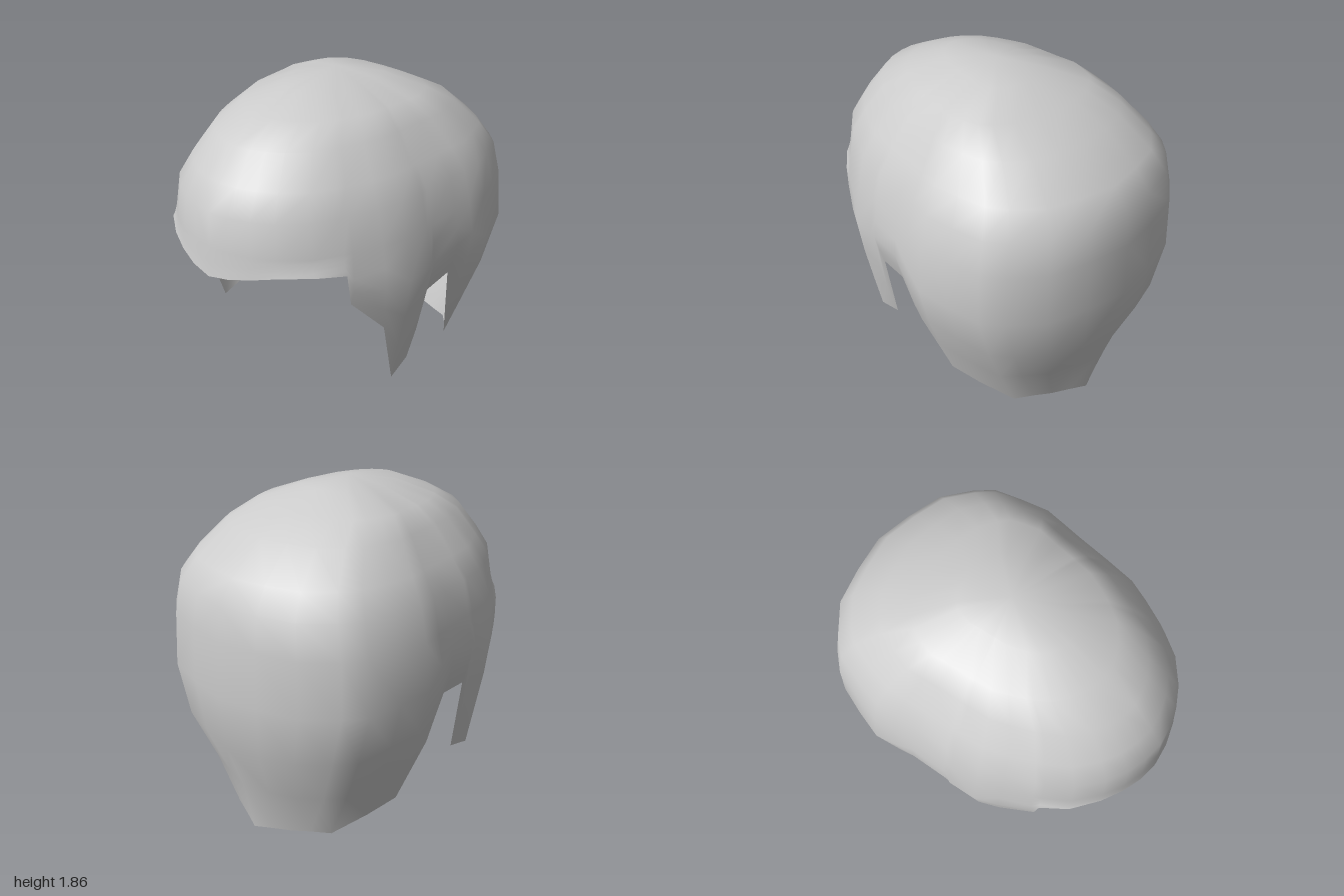
import * as THREE from 'three';

// Shell profile by height: [y, front z, back z, half width]
const PROFILE = [
  [0, 0.92, 0.81, 0.56], [0.21, 0.94, 0.85, 0.62], [0.32, 0.95, 0.87, 0.65], [0.59, 0.97, 0.97, 0.74],
  [0.7, 0.98, 0.98, 0.77], [0.98, 1.0, 1.0, 0.82], [1.17, 0.985, 0.98, 0.785],
  [1.38, 0.96, 0.945, 0.73], [1.5, 0.88, 0.855, 0.65], [1.65, 0.755, 0.66, 0.535],
  [1.74, 0.57, 0.46, 0.43], [1.82, 0.35, 0.26, 0.21], [1.86, 0, 0, 0],
];

// Columns of one half, brow centre to nape centre: [outline x, outline z, hem x, hem y, hem z]
const COLUMNS = [
  [0, 1, 0, 1.04, 1.0], [0.12, 0.985, 0.12, 1.06, 0.985], [0.24, 0.95, 0.24, 1.085, 0.945],
  [0.36, 0.89, 0.36, 1.11, 0.885], [0.5, 0.78, 0.5, 1.115, 0.78], [0.59, 0.65, 0.59, 1.1, 0.65],
  // sideburn
  [0.615, 0.61, 0.6, 0.93, 0.63], [0.69, 0.46, 0.67, 0.71, 0.44], [0.745, 0.33, 0.65, 0.29, 0.32],
  [0.765, 0.17, 0.645, 0.33, 0.165],
  // notch above the ear
  [0.77, 0.13, 0.71, 0.78, 0.14], [0.79, -0.08, 0.73, 0.81, -0.075], [0.805, -0.2, 0.69, 0.53, -0.155],
  // nape
  [0.82, -0.33, 0.61, 0.21, -0.31], [0.78, -0.5, 0.53, 0.14, -0.46], [0.73, -0.67, 0.42, 0.06, -0.63],
  [0.64, -0.77, 0.31, 0.045, -0.68], [0.47, -0.9, 0.21, 0.03, -0.73], [0.24, -0.96, 0.1, 0.014, -0.77],
  [0, -1, 0, 0, -0.81],
];

const SKIRT_TOP = 1.2;
const SKIRT_STEPS = 5;
const DOME_LEVELS = [1.38, 1.5, 1.65, 1.74, 1.82];

// Point of a column on the full shell at height y
function shellPoint([ox, oz], y) {
  let i = 1;
  while (i < PROFILE.length - 1 && PROFILE[i][0] < y) i++;
  const a = PROFILE[i - 1], b = PROFILE[i];
  const t = (y - a[0]) / (b[0] - a[0]);
  const [, front, back, width] = a.map((v, k) => v + (b[k] - v) * t);
  return new THREE.Vector3(ox / 0.82 * width, y, oz * (oz > 0 ? front : back));
}

// Column points from the hem up to just below the crown
function columnPoints(col) {
  const hem = new THREE.Vector3(col[2], col[3], col[4]);
  const shift = hem.clone().sub(shellPoint(col, hem.y));
  const points = [];
  for (let k = 0; k < SKIRT_STEPS; k++) {
    const t = 1 - k / (SKIRT_STEPS - 1);
    const y = THREE.MathUtils.lerp(SKIRT_TOP, hem.y, t);
    points.push(shellPoint(col, y).addScaledVector(shift, t * t));
  }
  DOME_LEVELS.forEach((y) => points.push(shellPoint(col, y)));
  return points;
}

function hairGeometry() {
  const half = COLUMNS.map(columnPoints);
  const mirrored = half.slice(1, -1).reverse()
    .map((col) => col.map((p) => new THREE.Vector3(-p.x, p.y, p.z)));
  const columns = [...half, ...mirrored];
  const rows = columns[0].length;
  const positions = columns.flat().flatMap((p) => p.toArray());
  const crown = columns.length * rows;
  positions.push(0, 1.86, 0);

  const index = [];
  columns.forEach((_, c) => {
    const a = c * rows, b = ((c + 1) % columns.length) * rows;
    for (let r = 0; r < rows - 1; r++) {
      // diagonals mirror with the halves
      if (c < half.length - 1) index.push(a + r, b + r, b + r + 1, a + r, b + r + 1, a + r + 1);
      else index.push(a + r, b + r, a + r + 1, b + r, b + r + 1, a + r + 1);
    }
    index.push(a + rows - 1, b + rows - 1, crown);
  });

  const geometry = new THREE.BufferGeometry();
  geometry.setAttribute('position', new THREE.Float32BufferAttribute(positions, 3));
  // columns run from the front towards +x, which is counter-clockwise seen from outside
  geometry.setIndex(index);
  geometry.computeVertexNormals();
  return geometry;
}

export function createModel() {
  const group = new THREE.Group();
  group.name = 'hairpiece';
  const material = new THREE.MeshStandardMaterial({ color: 0xcccccc, side: THREE.DoubleSide });
  const hair = new THREE.Mesh(hairGeometry(), material);
  hair.name = 'hairShell';
  group.add(hair);
  return group;
}
